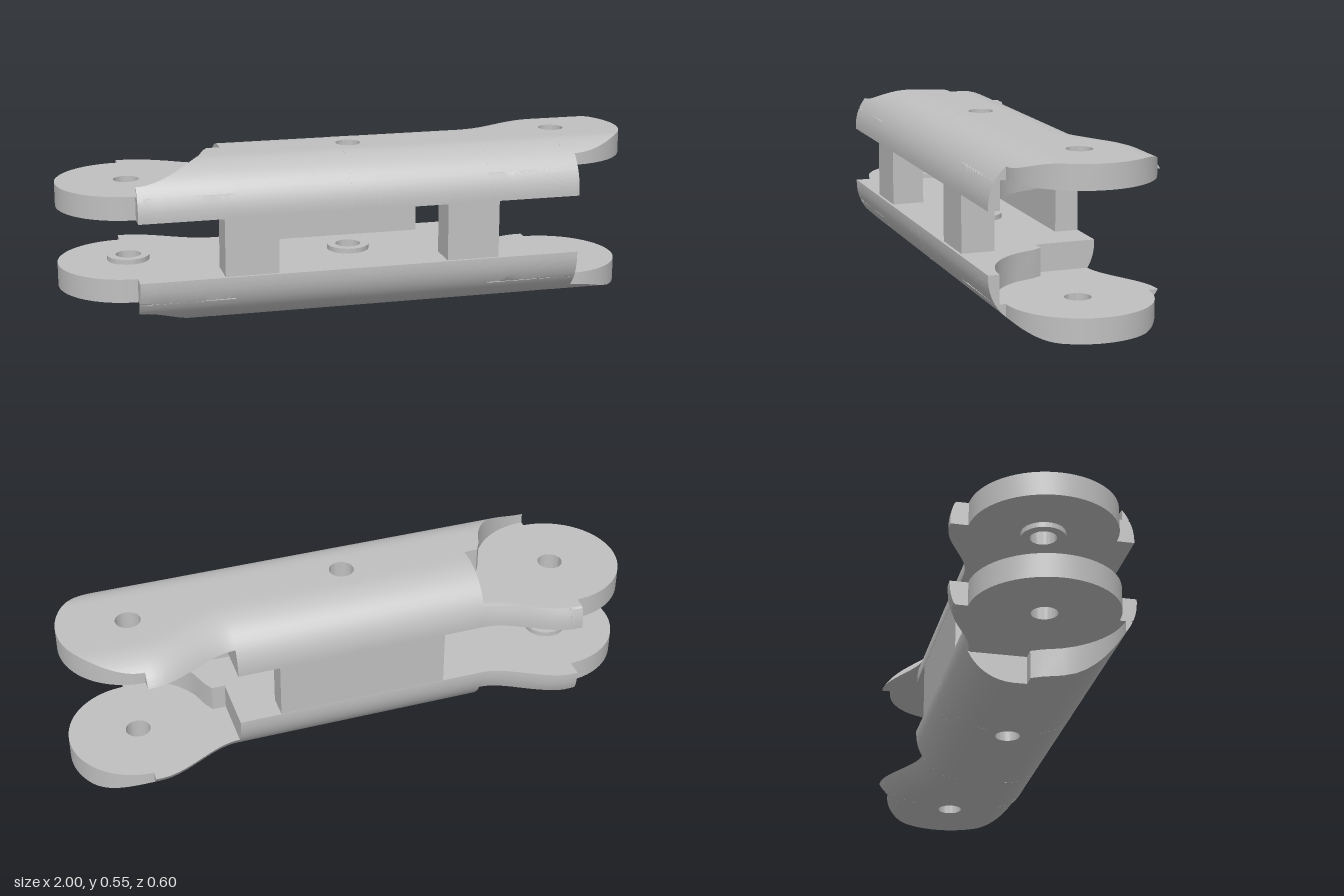
import * as THREE from 'three';
import { toCreasedNormals } from 'three/addons/utils/BufferGeometryUtils.js';

const TOP = 0.553, BASE = 0.377;          // outer face and inner face of the upper plate
const FRONT = 0.298, FILLET = 0.165;      // half width and rounding of the long edges
const PIVOT = 0.76, DISC = 0.24, POCKET = 0.26, STEP = 0.44, BORE = 0.043;

// plan outline: back edge is waisted in the middle, flaring to a lobe at each pivot
const backEdge = x => {
  const t = THREE.MathUtils.smoothstep(Math.abs(x), STEP, 0.74);
  return THREE.MathUtils.lerp(-0.19, -FRONT, t);
};
const frontEdge = () => FRONT;
const chord = (r, d) => Math.sqrt(Math.max(0, r * r - d * d));
const disc = x => chord(DISC, Math.abs(x) - PIVOT);
const pocketEdge = x => Math.max(0.02, chord(POCKET, Math.abs(x) - PIVOT));

// height of the rounded outer skin at a plan point
function skin(x, z) {
  const over = Math.max(z - (FRONT - FILLET), backEdge(x) + FILLET - z, 0);
  return TOP - FILLET + chord(FILLET, over);
}

// solid slab between two plan edges, topped by the rounded skin
function strip(out, x0, x1, back, front, y0, y1) {
  const NX = 20, NZ = 28, top = [], base = [];
  const inset = FILLET - chord(FILLET, Math.max(0, y0 - (TOP - FILLET)));
  for (let i = 0; i <= NX; i++) {
    const x = (x0 + x1) / 2 - (x1 - x0) / 2 * Math.cos(Math.PI * i / NX);
    const zb = Math.max(back(x), backEdge(x) + inset);
    const zf = Math.max(zb, Math.min(front(x), FRONT - inset));
    top.push([]); base.push([]);
    for (let j = 0; j <= NZ; j++) {
      const z = (zb + zf) / 2 - (zf - zb) / 2 * Math.cos(Math.PI * j / NZ);
      top[i].push(new THREE.Vector3(x, Math.max(y0, Math.min(y1, skin(x, z))), z));
      base[i].push(new THREE.Vector3(x, y0, z));
    }
  }
  const tri = (a, b, c) => {
    const area = b.clone().sub(a).cross(c.clone().sub(a)).length();
    if (area > 1e-9) for (const p of [a, b, c]) out.push(p.x, p.y, p.z);
  };
  const quad = (a, b, c, d) => { tri(a, b, c); tri(a, c, d); };
  for (let i = 0; i < NX; i++) {
    const T = top[i], U = top[i + 1], B = base[i], C = base[i + 1];
    for (let j = 0; j < NZ; j++) quad(T[j], T[j + 1], U[j + 1], U[j]);
    quad(B[0], C[0], C[NZ], B[NZ]);
    quad(B[NZ], C[NZ], U[NZ], T[NZ]);
    quad(B[0], T[0], U[0], C[0]);
  }
  for (let j = 0; j < NZ; j++) {
    const T = top[NX], B = base[NX], U = top[0], C = base[0];
    quad(B[j], T[j], T[j + 1], B[j + 1]);
    quad(C[j], C[j + 1], U[j + 1], U[j]);
  }
}

// slab with an optional round bore: the bore's span is split into a back and a front strip
function slab(out, x0, x1, back, front, y0, y1, bore) {
  if (!bore) return strip(out, x0, x1, back, front, y0, y1);
  const [cx, cz] = bore;
  const a = Math.max(x0, cx - BORE), b = Math.min(x1, cx + BORE);
  if (a > x0) strip(out, x0, a, back, front, y0, y1);
  strip(out, a, b, back, x => cz - chord(BORE, x - cx), y0, y1);
  strip(out, a, b, x => cz + chord(BORE, x - cx), front, y0, y1);
  if (b < x1) strip(out, b, x1, back, front, y0, y1);
}

function plateGeometry(mirrored) {
  const p = [], inner = 0.457, outer = 0.472;
  const discBack = x => -disc(x);
  // inner tongue with its lobe, at the right end
  slab(p, -1, -PIVOT, discBack, disc, BASE, inner, [-PIVOT, 0]);
  slab(p, -PIVOT, -STEP, backEdge, frontEdge, BASE, inner, [-PIVOT, 0]);
  slab(p, -PIVOT, -STEP, pocketEdge, frontEdge, inner, TOP);
  // full-thickness middle
  slab(p, -STEP, STEP, backEdge, frontEdge, BASE, TOP, [0, 0.055]);
  // outer tongue over a pocket, at the left end
  slab(p, STEP, PIVOT, pocketEdge, frontEdge, BASE, outer);
  slab(p, STEP, PIVOT, backEdge, frontEdge, outer, TOP, [PIVOT, 0]);
  slab(p, PIVOT, 1, discBack, disc, outer, TOP, [PIVOT, 0]);
  if (mirrored) {
    for (let i = 0; i < p.length; i += 9) {
      for (let k = 0; k < 3; k++) [p[i + 3 + k], p[i + 6 + k]] = [p[i + 6 + k], p[i + 3 + k]];
      for (let k = 1; k < 9; k += 3) p[i + k] = TOP - p[i + k];
    }
  }
  const g = new THREE.BufferGeometry();
  g.setAttribute('position', new THREE.Float32BufferAttribute(p, 3));
  return toCreasedNormals(g, 0.5);
}

export function createModel() {
  const group = new THREE.Group();
  const steel = new THREE.MeshStandardMaterial({ color: 0xc0c0c0 });
  steel.name = 'light grey metal';
  const add = (name, geometry, x = 0, y = 0, z = 0) => {
    const mesh = new THREE.Mesh(geometry, steel);
    mesh.name = name;
    mesh.position.set(x, y, z);
    group.add(mesh);
  };

  add('upperPlate', plateGeometry(false));
  add('lowerPlate', plateGeometry(true));

  // webs joining the two plates
  const gap = 2 * BASE - TOP, mid = TOP / 2;
  add('backWall', new THREE.BoxGeometry(0.59, gap, 0.081), 0, mid, -0.1485);
  for (const s of [-1, 1])
    add(s < 0 ? 'rightPost' : 'leftPost', new THREE.BoxGeometry(0.182, gap, 0.113), s * 0.384, mid, 0.2315);

  // raised washers around the bores, on the inner faces
  const ring = new THREE.Shape().absarc(0, 0, 0.072, 0, Math.PI * 2);
  ring.holes.push(new THREE.Path().absarc(0, 0, BORE, 0, Math.PI * 2, true));
  const washer = toCreasedNormals(
    new THREE.ExtrudeGeometry(ring, { depth: 0.017, bevelEnabled: false, curveSegments: 32 })
      .rotateX(-Math.PI / 2), 0.5);
  for (const [x, z] of [[-PIVOT, 0], [0, 0.055]]) {
    add('upperWasher', washer, x, BASE - 0.017, z);
    add('lowerWasher', washer, x, TOP - BASE, z);
  }
  return group;
}
